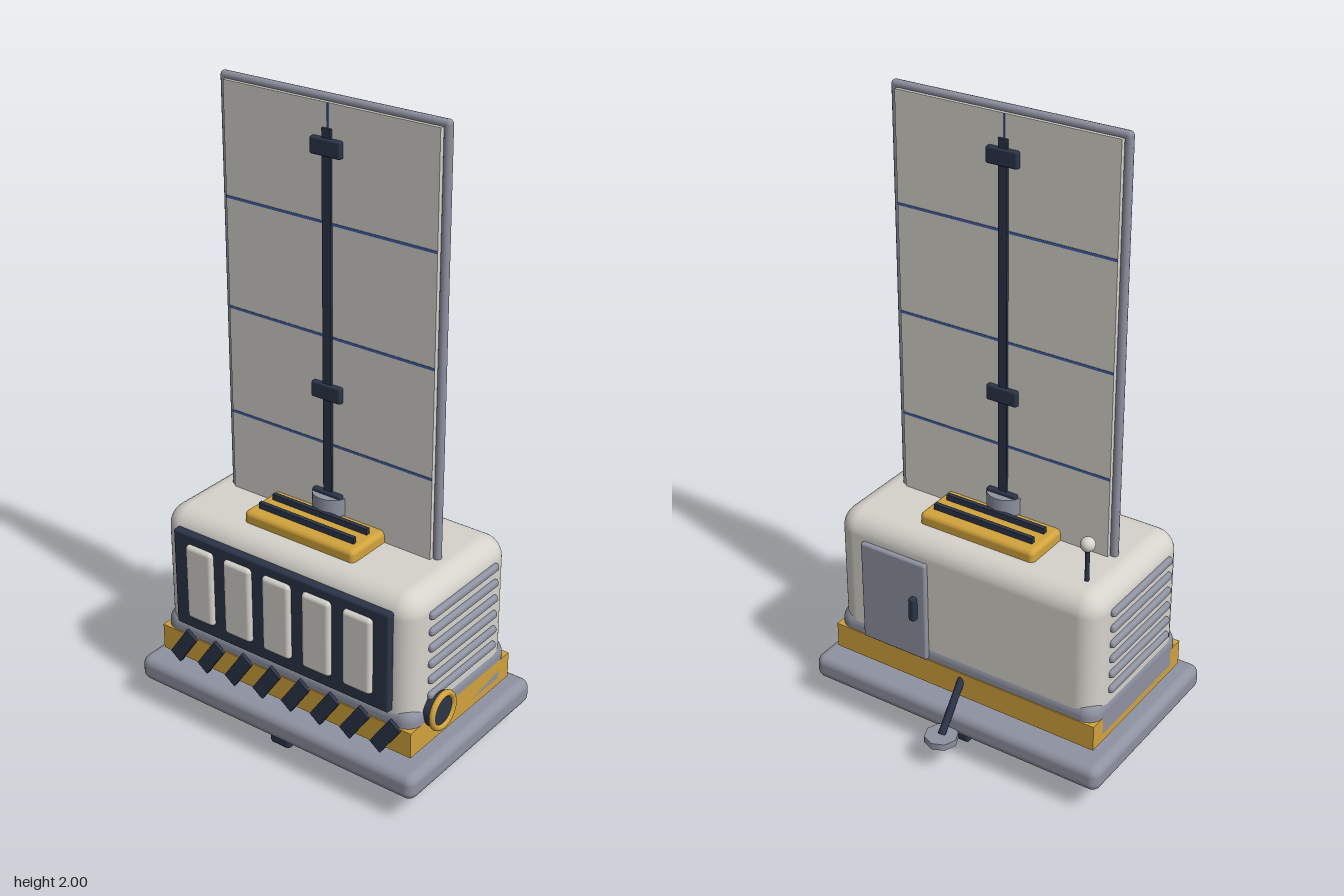
import * as THREE from 'three';
import { RoundedBoxGeometry } from 'three/addons/geometries/RoundedBoxGeometry.js';

const mat = (name, color) => {
  const m = new THREE.MeshStandardMaterial({ color });
  m.name = name;
  return m;
};

export function createModel() {
  const white = mat('warm white', 0xd6d3cc);
  const grey = mat('blue grey', 0x8f92a1);
  const yellow = mat('ochre yellow', 0xd2a33c);
  const navy = mat('dark navy', 0x2b3449);
  const blue = mat('line blue', 0x4463a8);

  const root = new THREE.Group();
  root.name = 'fieldStation';
  const CZ = 0.044; // middle of the body in z

  const add = (name, geo, material, x, y, z) => {
    const m = new THREE.Mesh(geo, material);
    m.name = name;
    m.position.set(x, y, z);
    root.add(m);
    return m;
  };
  const box = (name, material, w, h, d, x, y, z) =>
    add(name, new THREE.BoxGeometry(w, h, d), material, x, y, z);
  const rbox = (name, material, w, h, d, r, x, y, z) =>
    add(name, new RoundedBoxGeometry(w, h, d, 4, r), material, x, y, z);
  const cyl = (name, material, r, h, x, y, z, n = 20) =>
    add(name, new THREE.CylinderGeometry(r, r, h, n), material, x, y, z);

  // Base slab with a smaller lower lip
  rbox('baseSlab', grey, 1.044, 0.085, 0.64, 0.03, 0, 0.1275, CZ);
  rbox('baseLip', grey, 0.98, 0.06, 0.58, 0.015, 0, 0.1, CZ);

  // Underside rails and pivot
  for (const s of [-1, 1]) box('skidRail', navy, 0.022, 0.03, 0.5, s * 0.32, 0.062, CZ);
  rbox('centreKeel', navy, 0.075, 0.05, 0.55, 0.012, 0, 0.055, CZ);
  cyl('keelPivot', navy, 0.036, 0.13, 0, 0.036, CZ).rotation.z = Math.PI / 2;

  // Hull: grey skirt, yellow belt and light upper body
  rbox('skirt', grey, 0.944, 0.175, 0.508, 0.05, 0, 0.2525, CZ);
  box('belt', yellow, 0.944, 0.085, 0.516, 0, 0.233, CZ);
  rbox('body', white, 0.936, 0.5, 0.5, 0.07, 0, 0.45, CZ);

  // Slanted warning stripes on the belt
  const stripe = new THREE.BoxGeometry(0.046, 0.122, 0.012);
  for (let i = 0; i < 8; i++) {
    add('warningStripe', stripe, navy, -0.385 + 0.11 * i, 0.233, 0.304).rotation.z = -0.6;
  }

  // Front window panel
  rbox('windowPanel', navy, 0.8, 0.33, 0.03, 0.008, 0, 0.486, 0.3);
  for (let i = -2; i <= 2; i++) {
    rbox('window', white, 0.104, 0.255, 0.03, 0.014, i * 0.147, 0.492, 0.314);
  }

  // Side louvres
  for (const s of [-1, 1]) {
    for (let i = 0; i < 6; i++) {
      rbox('louvre', grey, 0.025, 0.025, 0.345, 0.01, s * 0.469, 0.355 + 0.054 * i, CZ);
    }
  }

  // Round port on the left side
  cyl('portBarrel', navy, 0.057, 0.045, 0.477, 0.3, 0.18, 24).rotation.z = Math.PI / 2;
  add('portRing', new THREE.TorusGeometry(0.054, 0.01, 10, 28), yellow, 0.498, 0.3, 0.18)
    .rotation.y = Math.PI / 2;

  // Back door and handle
  rbox('backDoor', grey, 0.24, 0.345, 0.02, 0.008, 0.24, 0.45, -0.213);
  rbox('doorHandle', navy, 0.022, 0.08, 0.025, 0.006, 0.16, 0.46, -0.23);

  // Roof hatch with slats and mast socket
  rbox('roofHatch', yellow, 0.405, 0.055, 0.348, 0.016, 0, 0.71, CZ);
  for (let i = -2; i <= 2; i++) {
    box('hatchSlat', navy, 0.35, 0.025, 0.014, 0, 0.744, CZ + i * 0.0645);
  }
  cyl('mastSocket', grey, 0.064, 0.055, 0, 0.769, CZ);

  // Tall upright panel
  box('panelSheet', white, 0.728, 1.36, 0.044, 0, 1.3, CZ);
  for (const s of [-1, 1]) {
    cyl('panelSideRail', grey, 0.013, 1.374, s * 0.374, 1.3, CZ, 12);
  }
  for (const y of [0.613, 1.987]) {
    cyl('panelEndRail', grey, 0.013, 0.748, 0, y, CZ, 12).rotation.z = Math.PI / 2;
    for (const s of [-1, 1]) {
      add('railCorner', new THREE.SphereGeometry(0.013, 12, 8), grey, s * 0.374, y, CZ);
    }
  }
  for (const s of [-1, 1]) {
    const z = CZ + s * 0.022;
    for (const y of [0.96, 1.3, 1.64]) box('panelLine', blue, 0.728, 0.008, 0.003, 0, y, z);
    box('panelLine', blue, 0.006, 1.36, 0.003, 0, 1.3, z);
  }

  // Mast and its clamps
  box('mast', navy, 0.03, 1.16, 0.06, 0, 1.33, CZ);
  for (const y of [0.782, 1.13, 1.858]) {
    rbox('mastClamp', navy, 0.104, 0.05, 0.076, 0.006, 0, y, CZ);
  }

  // Aerial with a round tip
  cyl('aerialStem', navy, 0.007, 0.15, -0.377, 0.745, -0.115, 10);
  add('aerialTip', new THREE.SphereGeometry(0.023, 20, 14), white, -0.377, 0.822, -0.115);

  // Rear strut and foot pad
  const a = new THREE.Vector3(0, 0.26, -0.2);
  const b = new THREE.Vector3(0, 0.11, -0.316);
  const mid = a.clone().add(b).multiplyScalar(0.5);
  const strut = cyl('rearStrut', navy, 0.012, a.distanceTo(b), 0, mid.y, mid.z, 10);
  strut.quaternion.setFromUnitVectors(new THREE.Vector3(0, 1, 0), a.clone().sub(b).normalize());
  cyl('footPad', grey, 0.053, 0.022, 0, 0.1, -0.318, 8);

  return root;
}
